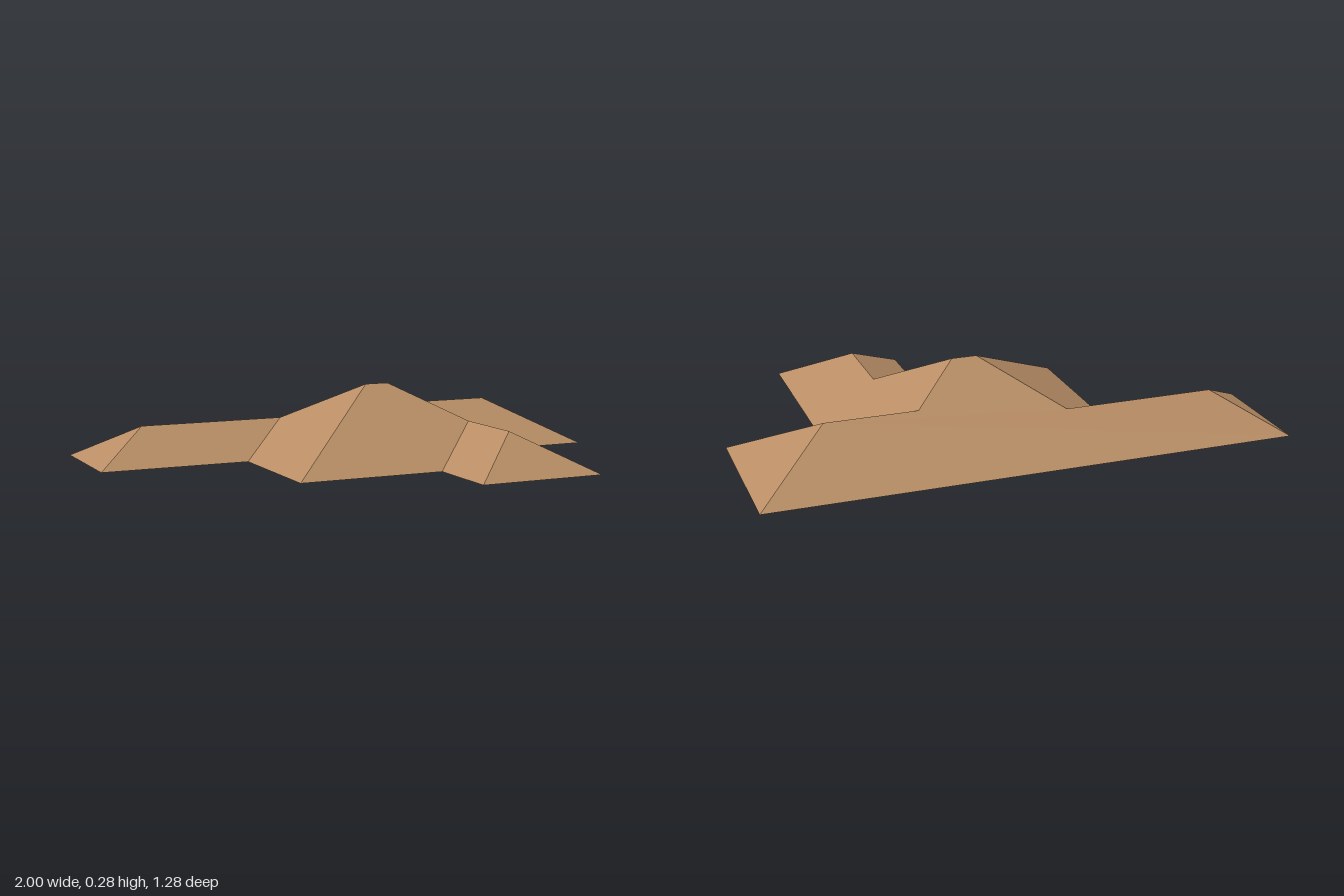
import * as THREE from 'three';

const PITCH = Math.tan(Math.PI / 6); // every slope rises at 30 degrees
const SOFFIT = 0.1;                  // width of the flat eave underside

// Eave corners [x, z], going round clockwise as seen from above
const eaves = [
  [-1, -0.6425], [1, -0.6425], [1, -0.0475], [0.65, -0.0475], [0.65, 0.6425],
  [0.15, 0.6425], [0.15, 0.3325], [-0.42, 0.3325], [-0.42, -0.1875], [-1, -0.1875],
];

// Ridge ends [x, z, distance in from the eaves]
const ridges = [
  [-0.7725, -0.415, 0.2275], [-0.1925, -0.415, 0.2275], // left wing
  [0.0675, -0.155, 0.4875], [0.1625, -0.155, 0.4875],   // main block
  [0.3525, -0.345, 0.2975], [0.7025, -0.345, 0.2975],   // right wing
  [0.4, 0.0825, 0.25], [0.4, 0.3925, 0.25],             // front wing
];

// Ridge ends bounding the slope above each eave edge
const slopes = [
  [5, 4, 3, 2, 1, 0], [5], [4, 5], [7, 6, 3, 4], [7],
  [6, 7], [2, 3, 6], [1, 2], [0, 1], [0],
];

// Eave outline moved inward with mitred corners
function insetOutline(w) {
  const n = eaves.length;
  const inward = (i) => {
    const a = eaves[i % n], b = eaves[(i + 1) % n];
    return [-Math.sign(b[1] - a[1]), Math.sign(b[0] - a[0])];
  };
  return eaves.map(([x, z], i) => {
    const p = inward(i + n - 1), q = inward(i);
    return [x + w * (p[0] + q[0]), z + w * (p[1] + q[1])];
  });
}

// Flat-shaded mesh from polygons of [x, y, z], all facing up or all down
function polygonMesh(name, polygons, facesUp, material) {
  const positions = [];
  for (const poly of polygons) {
    const flat = poly.map(([x, , z]) => new THREE.Vector2(x, z));
    for (const tri of THREE.ShapeUtils.triangulateShape(flat, [])) {
      let [a, b, c] = tri.map((i) => poly[i]);
      const up = (b[2] - a[2]) * (c[0] - a[0]) - (b[0] - a[0]) * (c[2] - a[2]) > 0;
      if (up !== facesUp) [b, c] = [c, b];
      positions.push(...a, ...b, ...c);
    }
  }
  const geometry = new THREE.BufferGeometry();
  geometry.setAttribute('position', new THREE.Float32BufferAttribute(positions, 3));
  geometry.computeVertexNormals();
  const mesh = new THREE.Mesh(geometry, material);
  mesh.name = name;
  return mesh;
}

// One polygon per slope for a roof whose eaves are inset by w
function slopePolygons(w) {
  const outline = insetOutline(w);
  return slopes.map((ids, i) => [
    ...[outline[i], outline[(i + 1) % outline.length]].map(([x, z]) => [x, 0, z]),
    ...ids.map((k) => [ridges[k][0], (ridges[k][2] - w) * PITCH, ridges[k][1]]),
  ]);
}

export function createModel() {
  const roofBrown = new THREE.MeshStandardMaterial({ color: 0xb88d65 });
  roofBrown.name = 'roofBrown';
  const undersideGrey = new THREE.MeshStandardMaterial({ color: 0x808080 });
  undersideGrey.name = 'undersideGrey';

  // Flat strip under the eaves
  const inner = insetOutline(SOFFIT);
  const strips = eaves.map((p, i) => {
    const j = (i + 1) % eaves.length;
    return [p, eaves[j], inner[j], inner[i]].map(([x, z]) => [x, 0, z]);
  });

  const roof = new THREE.Group();
  roof.name = 'hipRoof';
  roof.add(
    polygonMesh('roofSlopes', slopePolygons(0), true, roofBrown),
    polygonMesh('soffit', strips, false, undersideGrey),
    polygonMesh('innerSlopes', slopePolygons(SOFFIT), false, undersideGrey),
  );
  return roof;
}
